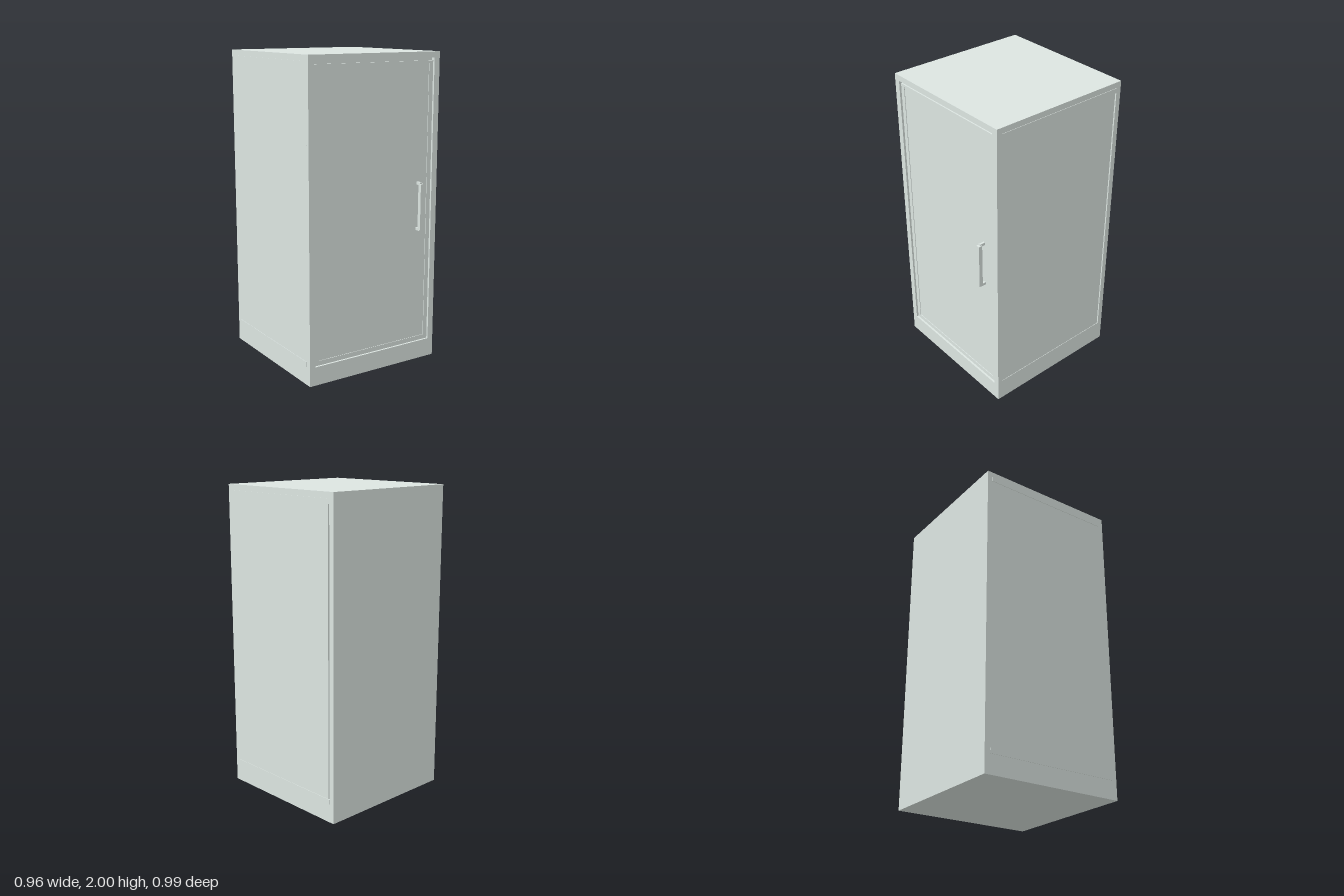
import * as THREE from 'three';

export function createModel() {
  const cabinet = new THREE.Group();
  cabinet.name = 'cabinet';
  const paleGrey = new THREE.MeshStandardMaterial({ color: 0xdce5e1 });
  paleGrey.name = 'paleGrey';

  // Box from its minimum and maximum corners
  const box = (name, [x0, y0, z0], [x1, y1, z1], parent = cabinet) => {
    const mesh = new THREE.Mesh(new THREE.BoxGeometry(x1 - x0, y1 - y0, z1 - z0), paleGrey);
    mesh.position.set((x0 + x1) / 2, (y0 + y1) / 2, (z0 + z1) / 2);
    mesh.name = name;
    parent.add(mesh);
  };

  // Upright plate with a rectangular hole, extruded along z
  const rect = (path, [x0, y0, x1, y1]) =>
    path.moveTo(x0, y0).lineTo(x1, y0).lineTo(x1, y1).lineTo(x0, y1).closePath();
  const plate = (name, outer, hole, depth) => {
    const shape = rect(new THREE.Shape(), outer);
    shape.holes.push(rect(new THREE.Path(), hole));
    const mesh = new THREE.Mesh(
      new THREE.ExtrudeGeometry(shape, { depth, bevelEnabled: false }), paleGrey);
    mesh.name = name;
    cabinet.add(mesh);
    return mesh;
  };

  const half = 0.4775, back = -0.495, front = 0.46;
  const core = 0.435, door = 0.447, panel = 0.443;
  const slot = 0.02;

  // Carcass, with a narrow upright slot in one side
  box('carcass', [-half, 0, back], [half - slot, 2, core]);
  const slottedSide = plate('slottedSide', [-core, 0, -back, 2], [0.451, 0.12, 0.461, 1.963], slot);
  slottedSide.rotation.y = Math.PI / 2;
  slottedSide.position.x = half - slot;

  // Frame, door border set back in it, and the shallow inner panel
  const frame = plate('doorFrame', [-half, 0, half, 2], [-0.437, 0.12, 0.437, 1.963], front - core);
  frame.position.z = core;
  const border = plate('doorBorder', [-0.437, 0.12, 0.437, 1.945], [-0.407, 0.15, 0.407, 1.93], door - core);
  border.position.z = core;
  box('doorPanel', [-0.407, 0.15, core], [0.407, 1.93, panel]);

  // Slim rails near the top and bottom of both sides
  for (const side of [-1, 1]) {
    for (const y of [0.12, 1.932]) {
      const x = side * (half - 0.001);
      box('sideRail', [x - 0.0035, y, -0.46], [x + 0.0035, y + 0.031, 0.425]);
    }
  }

  // Handle: square bar on two short mounts
  const handle = new THREE.Group();
  handle.name = 'handle';
  cabinet.add(handle);
  box('handleBar', [0.323, 0.884, 0.47], [0.348, 1.181, 0.495], handle);
  for (const y of [0.875, 1.172]) {
    box('handleMount', [0.328, y, panel], [0.343, y + 0.018, 0.48], handle);
  }
  return cabinet;
}
